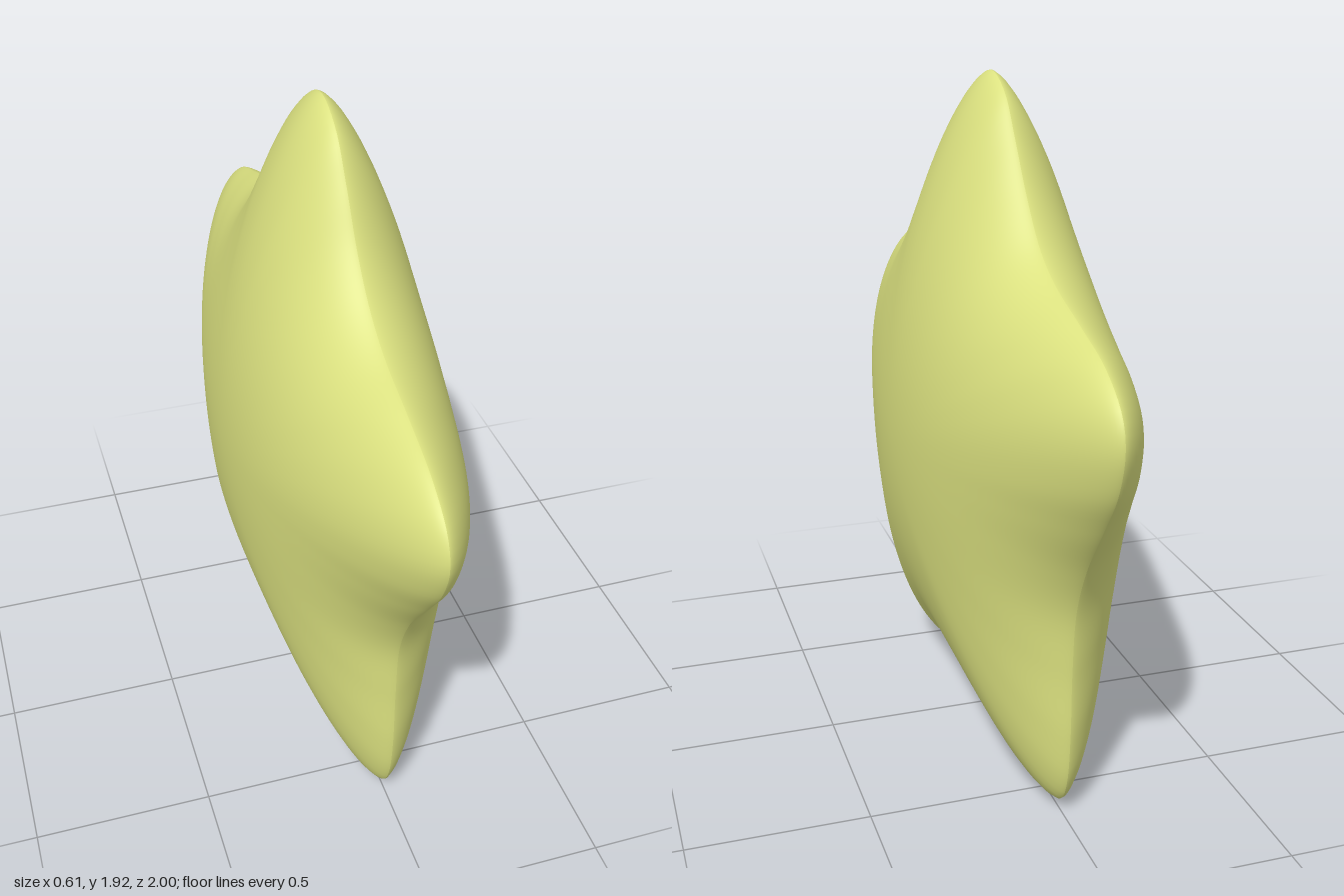
import * as THREE from 'three';

const CENTRE_Y = 0.9, HALF_DEPTH = 0.307, CORE_RADIUS = 0.85;

// Star outline as [z, y], running from the top point round the +z side
const OUTLINE = [
  [0, 1.92], [0.12, 1.87], [0.21, 1.755], [0.3, 1.62], [0.4, 1.515], [0.52, 1.44], [0.7, 1.38],
  [0.87, 1.315], [0.97, 1.24], [1, 1.16], [0.965, 1.05], [0.87, 0.92], [0.76, 0.77], [0.7, 0.63],
  [0.685, 0.45], [0.68, 0.25], [0.66, 0.12], [0.62, 0.04], [0.55, 0.003], [0.43, 0.015], [0.25, 0.07],
  [0.1, 0.12], [0, 0.13], [-0.1, 0.122], [-0.25, 0.08], [-0.43, 0.03], [-0.55, 0.015], [-0.63, 0.04],
  [-0.67, 0.11], [-0.69, 0.25], [-0.695, 0.45], [-0.715, 0.63], [-0.775, 0.77], [-0.88, 0.92],
  [-0.968, 1.05], [-1, 1.17], [-0.975, 1.245], [-0.87, 1.325], [-0.7, 1.385], [-0.52, 1.445],
  [-0.41, 1.51], [-0.3, 1.63], [-0.21, 1.755], [-0.12, 1.87],
];

// One puffed half: rings go from round in the middle to the star at the seam
function puffedHalf(side) {
  const segments = 220, rings = 40;
  const curve = new THREE.CatmullRomCurve3(
    OUTLINE.map(([z, y]) => new THREE.Vector3(0, y - CENTRE_Y, z)), true, 'centripetal');
  const edge = curve.getSpacedPoints(segments).slice(0, segments);
  const positions = [side * HALF_DEPTH, CENTRE_Y, 0];
  const index = [];
  const tri = (a, b, c) => (side > 0 ? index.push(a, b, c) : index.push(a, c, b));
  for (let r = 1; r <= rings; r++) {
    const s = Math.sin((r / rings) * Math.PI / 2);
    const height = HALF_DEPTH * Math.pow(Math.max(0, 1 - s * s), 0.68);
    for (const p of edge) {
      const scale = s * THREE.MathUtils.lerp(CORE_RADIUS / p.length(), 1, s * s);
      positions.push(side * height, CENTRE_Y + p.y * scale, p.z * scale);
    }
  }
  for (let i = 0; i < segments; i++) {
    const j = (i + 1) % segments;
    tri(0, 1 + i, 1 + j);
    for (let r = 0; r < rings - 1; r++) {
      const a = 1 + r * segments, b = a + segments;
      tri(a + i, b + i, b + j);
      tri(a + i, b + j, a + j);
    }
  }
  const geometry = new THREE.BufferGeometry();
  geometry.setAttribute('position', new THREE.Float32BufferAttribute(positions, 3));
  geometry.setIndex(index);
  geometry.computeVertexNormals();
  return geometry;
}

export function createModel() {
  const group = new THREE.Group();
  group.name = 'starCushion';
  const fabric = new THREE.MeshStandardMaterial({ color: 0xdae07f });
  fabric.name = 'yellowGreenFabric';

  // Two mirrored cushion faces meeting at the seam
  for (const [name, side] of [['leftFace', 1], ['rightFace', -1]]) {
    const mesh = new THREE.Mesh(puffedHalf(side), fabric);
    mesh.name = name;
    group.add(mesh);
  }
  return group;
}
